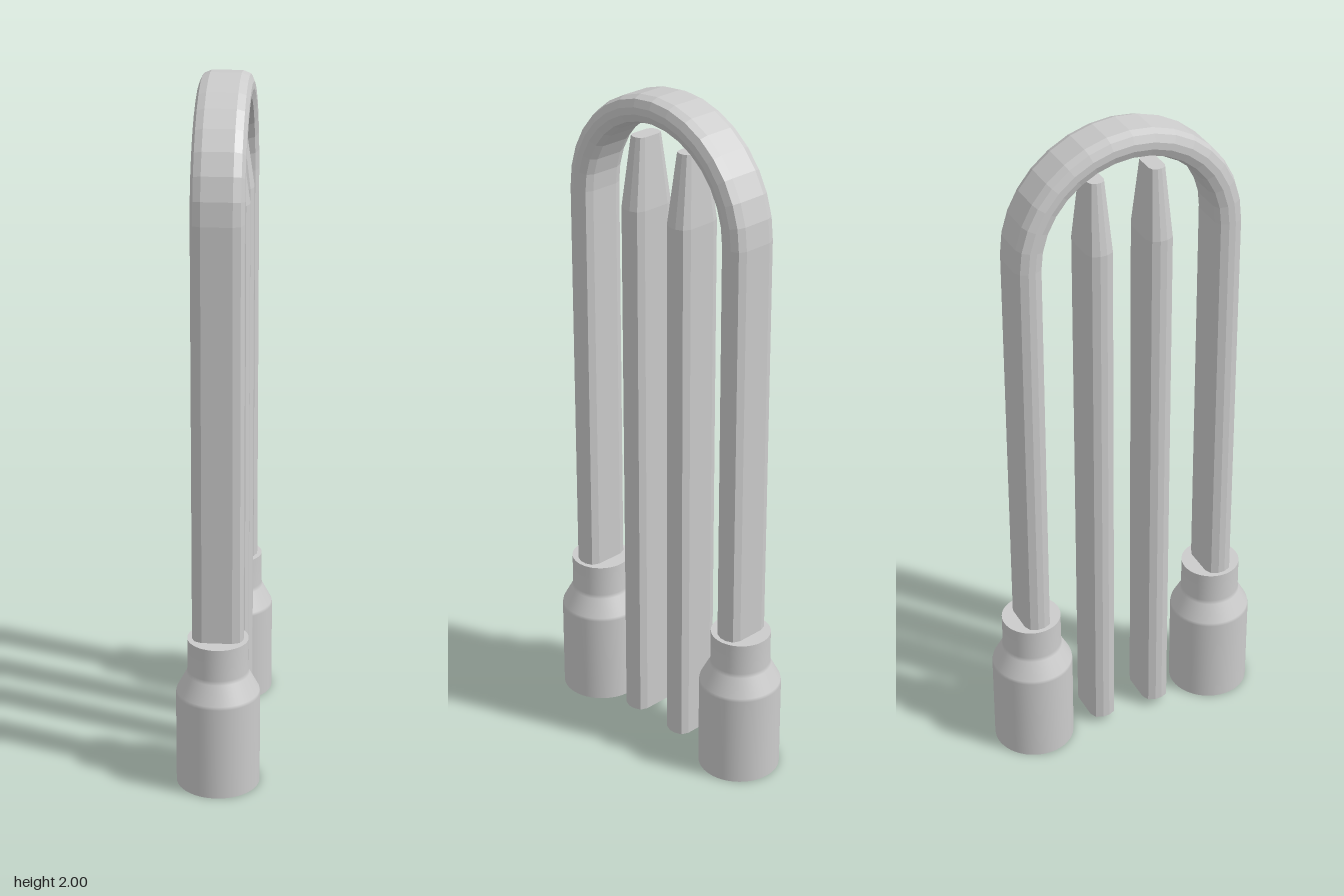
import * as THREE from 'three';

const flat = new THREE.MeshStandardMaterial({ color: 0xcccccc, flatShading: true, side: THREE.DoubleSide });
const smooth = new THREE.MeshStandardMaterial({ color: 0xcccccc, side: THREE.DoubleSide });

// Rounded-rectangle cross-section, counter-clockwise, two facets per corner
function makeSection(halfX, halfZ, r) {
  const points = [];
  [[1, 1], [-1, 1], [-1, -1], [1, -1]].forEach(([sx, sz], corner) => {
    for (let i = 0; i <= 2; i++) {
      const a = (corner + i / 2) * Math.PI / 2;
      points.push([sx * (halfX - r) + r * Math.cos(a), sz * (halfZ - r) + r * Math.sin(a)]);
    }
  });
  return points;
}
const section = makeSection(0.073, 0.04, 0.03);

// Sweep the section through rings lying in the YZ plane: { y, z, tilt, scale }
function sweep(rings, capEnd) {
  const n = section.length, position = [], index = [];
  for (const { y, z, tilt = 0, scale = 1 } of rings) {
    for (const [u, v] of section) {
      position.push(u * scale, y + v * scale * Math.sin(tilt), z + v * scale * Math.cos(tilt));
    }
  }
  for (let r = 0; r < rings.length - 1; r++) {
    for (let i = 0; i < n; i++) {
      const a = r * n + i, b = r * n + (i + 1) % n;
      index.push(a, a + n, b, b, a + n, b + n);
    }
  }
  if (capEnd) {
    const first = (rings.length - 1) * n;
    for (let i = 1; i < n - 1; i++) index.push(first, first + i + 1, first + i);
  }
  const geometry = new THREE.BufferGeometry();
  geometry.setAttribute('position', new THREE.Float32BufferAttribute(position, 3));
  geometry.setIndex(index);
  geometry.computeVertexNormals();
  return geometry;
}

function addMesh(parent, name, geometry, material) {
  const mesh = new THREE.Mesh(geometry, material);
  mesh.name = name;
  parent.add(mesh);
  return mesh;
}

export function createModel() {
  const model = new THREE.Group();
  model.name = 'archedTubeAssembly';
  const legZ = 0.3, archY = 1.66, footY = 0.025;

  // Arched tube: straight leg, half circle, straight leg
  const arch = [{ y: footY, z: legZ }];
  for (let i = 0; i <= 16; i++) {
    const a = i / 16 * Math.PI;
    arch.push({ y: archY + legZ * Math.sin(a), z: legZ * Math.cos(a), tilt: a });
  }
  arch.push({ y: footY, z: -legZ, tilt: Math.PI });
  addMesh(model, 'archedTube', sweep(arch, false), flat);

  // Bottle-shaped sleeve profile, open underneath
  const profile = [[0.12, 0], [0.12, 0.28], [0.118, 0.29], [0.09, 0.343], [0.087, 0.355], [0.087, 0.45]]
    .map(([r, y]) => new THREE.Vector2(r, y));

  for (const side of [1, -1]) {
    const end = side > 0 ? 'front' : 'back';

    // Inner rod with tapered, closed tip
    const z = side * 0.09;
    addMesh(model, end + 'Rod', sweep([
      { y: footY, z }, { y: archY, z }, { y: 1.865, z, scale: 0.6 },
    ], true), flat);

    // Sleeve around the foot of the tube
    const sleeve = new THREE.Group();
    sleeve.name = end + 'Sleeve';
    sleeve.position.z = side * legZ;
    addMesh(sleeve, 'sleeveWall', new THREE.LatheGeometry(profile, 48), smooth);
    const top = addMesh(sleeve, 'sleeveTop', new THREE.CircleGeometry(0.087, 48), smooth);
    top.rotation.x = -Math.PI / 2;
    top.position.y = 0.45;
    model.add(sleeve);
  }
  return model;
}
